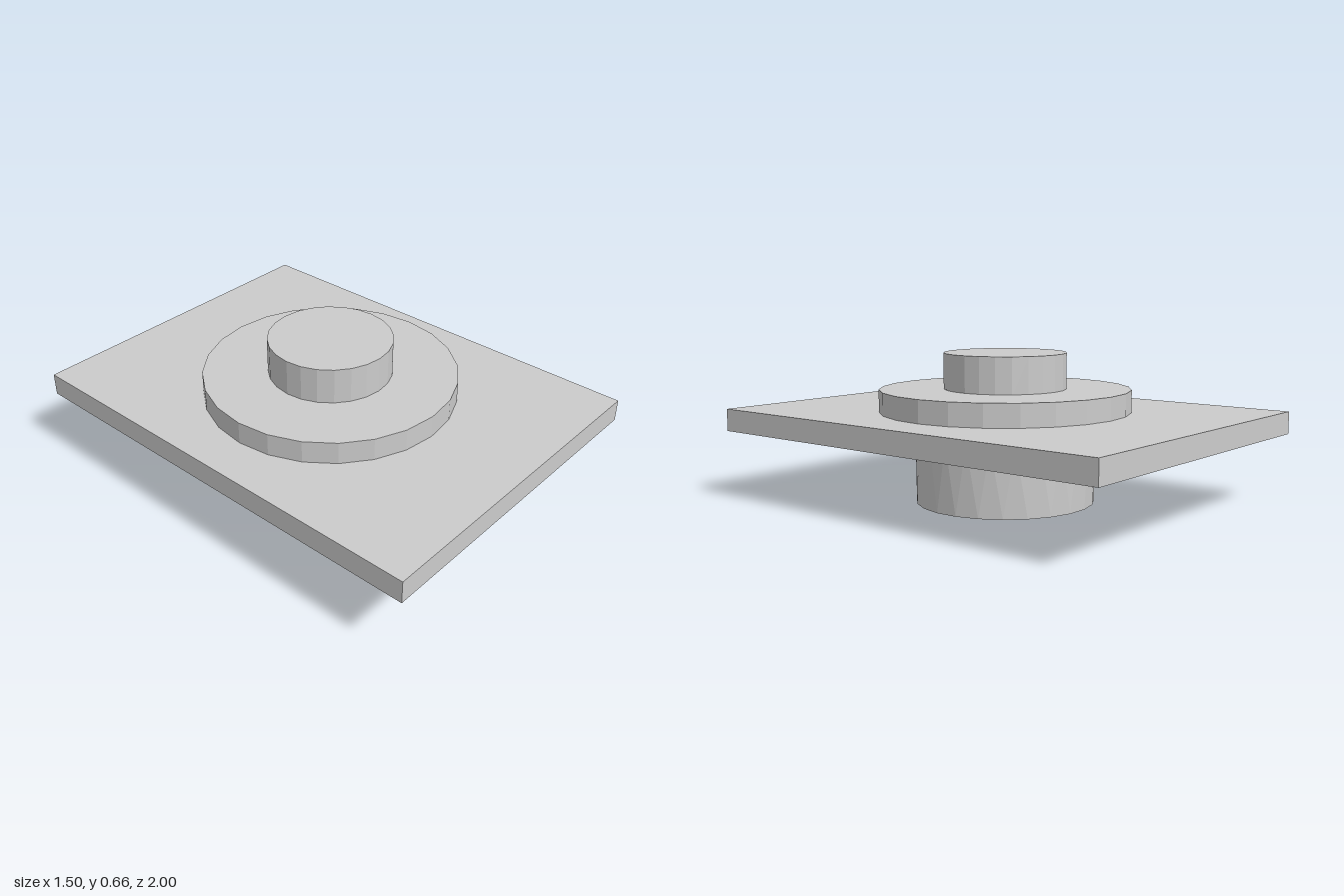
import * as THREE from 'three';

const SIDES = 24;
const material = new THREE.MeshStandardMaterial({ color: 0xcccccc, flatShading: true });

export function createModel() {
  const model = new THREE.Group();

  const add = (name, geometry, bottom, top) => {
    const mesh = new THREE.Mesh(geometry, material);
    mesh.name = name;
    mesh.position.y = (bottom + top) / 2;
    model.add(mesh);
  };
  const disc = (radius, bottom, top) =>
    new THREE.CylinderGeometry(radius, radius, top - bottom, SIDES);

  // Round foot: its lower rim is turned half a facet, giving triangular sides
  const foot = disc(0.398, 0, 0.305);
  const p = foot.attributes.position;
  const v = new THREE.Vector3();
  const up = new THREE.Vector3(0, 1, 0);
  for (let i = 0; i < p.count; i++) {
    v.fromBufferAttribute(p, i);
    if (v.y < 0) v.applyAxisAngle(up, Math.PI / SIDES);
    p.setXYZ(i, v.x, v.y, v.z);
  }
  foot.computeVertexNormals();
  add('foot', foot, 0, 0.305);

  // Rectangular plate
  add('plate', new THREE.BoxGeometry(1.5, 0.1, 2), 0.304, 0.404);

  // Stepped discs on top
  add('flange', disc(0.557, 0.4, 0.503), 0.4, 0.503);
  add('boss', disc(0.272, 0.5, 0.662), 0.5, 0.662);

  return model;
}
